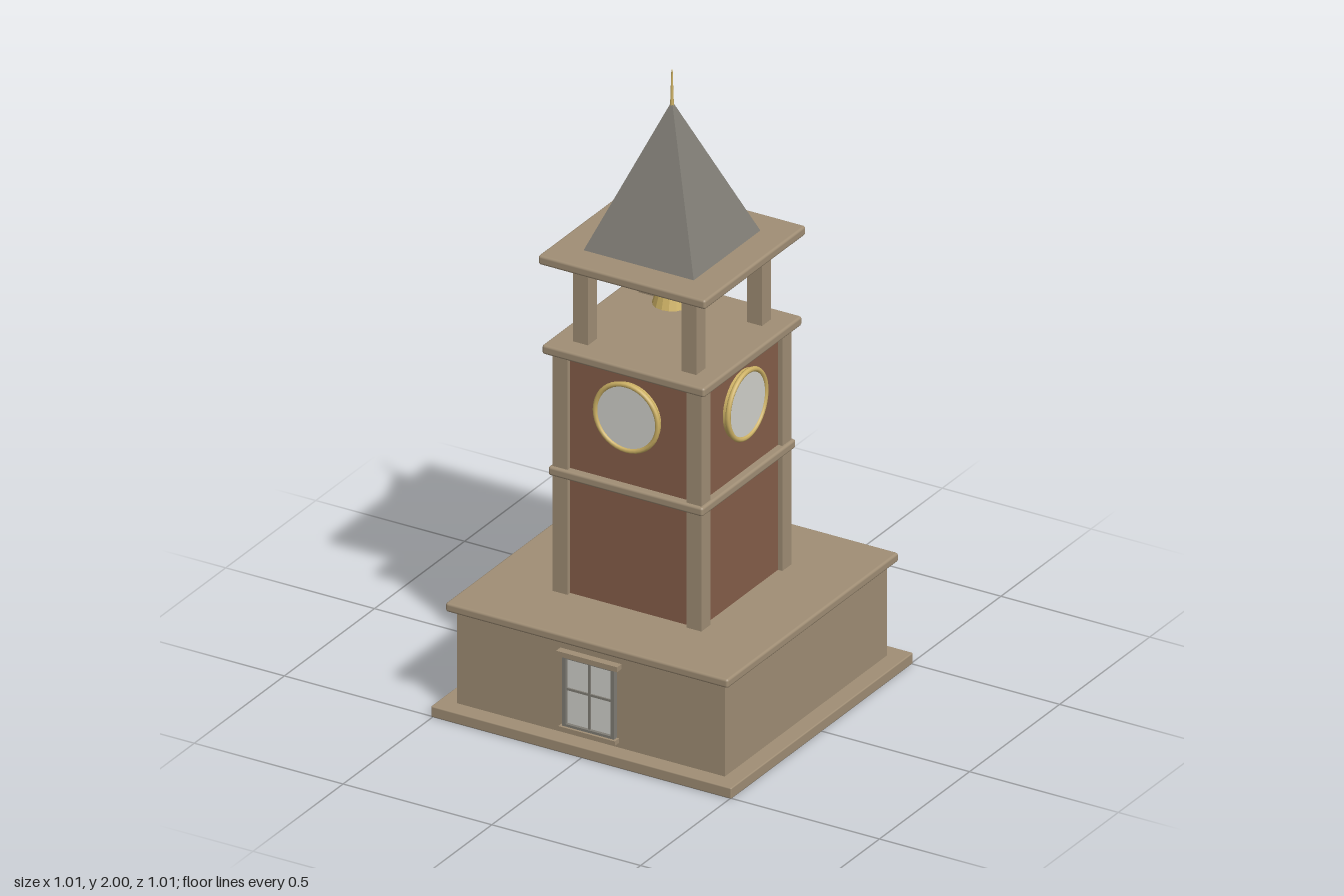
import * as THREE from 'three';
import { RoundedBoxGeometry } from 'three/addons/geometries/RoundedBoxGeometry.js';

const material = (name, color) => {
  const m = new THREE.MeshStandardMaterial({ color });
  m.name = name;
  return m;
};

export function createModel() {
  const model = new THREE.Group();
  model.name = 'clockTower';
  const stone = material('sandstone', 0xa08e75);
  const brick = material('brick', 0x865e4a);
  const slate = material('slate', 0x807d75);
  const pale = material('pale glass', 0xd2d2cc);
  const gold = material('gold', 0xcfb366);

  const add = (name, geometry, mat, x = 0, y = 0, z = 0, parent = model) => {
    const mesh = new THREE.Mesh(geometry, mat);
    mesh.name = name;
    mesh.position.set(x, y, z);
    parent.add(mesh);
    return mesh;
  };
  // Square block between two heights
  const block = (name, half, y0, y1, mat, x = 0, z = 0) =>
    add(name, new THREE.BoxGeometry(half * 2, y1 - y0, half * 2), mat, x, (y0 + y1) / 2, z);
  // Square slab with softened edges
  const slab = (name, half, y0, y1, r = 0.008) =>
    add(name, new RoundedBoxGeometry(half * 2, y1 - y0, half * 2, 2, r), stone, 0, (y0 + y1) / 2, 0);

  // Base storey
  slab('plinth', 0.505, 0, 0.035, 0.004);
  block('baseStorey', 0.45, 0.03, 0.338, stone);
  slab('baseCornice', 0.475, 0.334, 0.363);

  // Brick shaft with string course and cornice
  block('brickShaft', 0.235, 0.36, 1.135, brick);
  slab('stringCourse', 0.26, 0.737, 0.766);
  slab('shaftCornice', 0.273, 1.13, 1.16);

  // Corner piers and belfry posts
  for (const sx of [-1, 1]) {
    for (const sz of [-1, 1]) {
      block('cornerPier', 0.025, 0.36, 1.135, stone, sx * 0.225, sz * 0.225);
      block('belfryPost', 0.025, 1.155, 1.425, stone, sx * 0.182, sz * 0.182);
    }
  }
  slab('belfryCornice', 0.281, 1.42, 1.45);

  // Bell
  const bellMat = gold;
  const bellGeometry = new THREE.CylinderGeometry(0.032, 0.058, 0.09, 16).toNonIndexed();
  bellGeometry.computeVertexNormals();
  add('bell', bellGeometry, bellMat, 0, 1.295, 0);

  // Pyramid spire, with its sides square to the tower
  const spireGeometry = new THREE.ConeGeometry(0.185 * Math.SQRT2, 0.45, 4).toNonIndexed();
  spireGeometry.rotateY(Math.PI / 4);
  spireGeometry.computeVertexNormals();
  add('spire', spireGeometry, slate, 0, 1.675, 0);
  add('finial', new THREE.CylinderGeometry(0.002, 0.006, 0.12, 8), gold, 0, 1.94, 0);

  // One clock on each side
  for (let i = 0; i < 4; i++) {
    const clock = new THREE.Group();
    clock.name = 'clock';
    clock.rotation.y = i * Math.PI / 2;
    model.add(clock);
    const drum = new THREE.CylinderGeometry(0.106, 0.106, 0.022, 40).rotateX(Math.PI / 2);
    add('clockDrum', drum, gold, 0, 0.988, 0.241, clock);
    add('clockFace', new THREE.CircleGeometry(0.104, 40), pale, 0, 0.988, 0.2535, clock);
    add('clockRim', new THREE.TorusGeometry(0.105, 0.008, 8, 40), gold, 0, 0.988, 0.252, clock);
  }

  // Front window
  const win = new THREE.Group();
  win.name = 'window';
  win.position.set(0, 0.178, 0.45);
  model.add(win);
  const bar = (name, w, h, d, mat, x, y) =>
    add(name, new THREE.BoxGeometry(w, h, d), mat, x, y, d / 2, win);
  bar('glass', 0.16, 0.23, 0.006, pale, 0, 0);
  for (const s of [-1, 1]) {
    bar('windowJamb', 0.012, 0.23, 0.016, slate, s * 0.081, 0);
    bar('windowRail', 0.174, 0.01, 0.016, slate, 0, s * 0.11);
  }
  bar('mullion', 0.007, 0.22, 0.011, slate, 0, 0);
  bar('transom', 0.16, 0.007, 0.011, slate, 0, 0.006);
  bar('lintel', 0.205, 0.016, 0.024, stone, 0, 0.12);
  bar('sill', 0.19, 0.014, 0.024, stone, 0, -0.12);

  return model;
}
